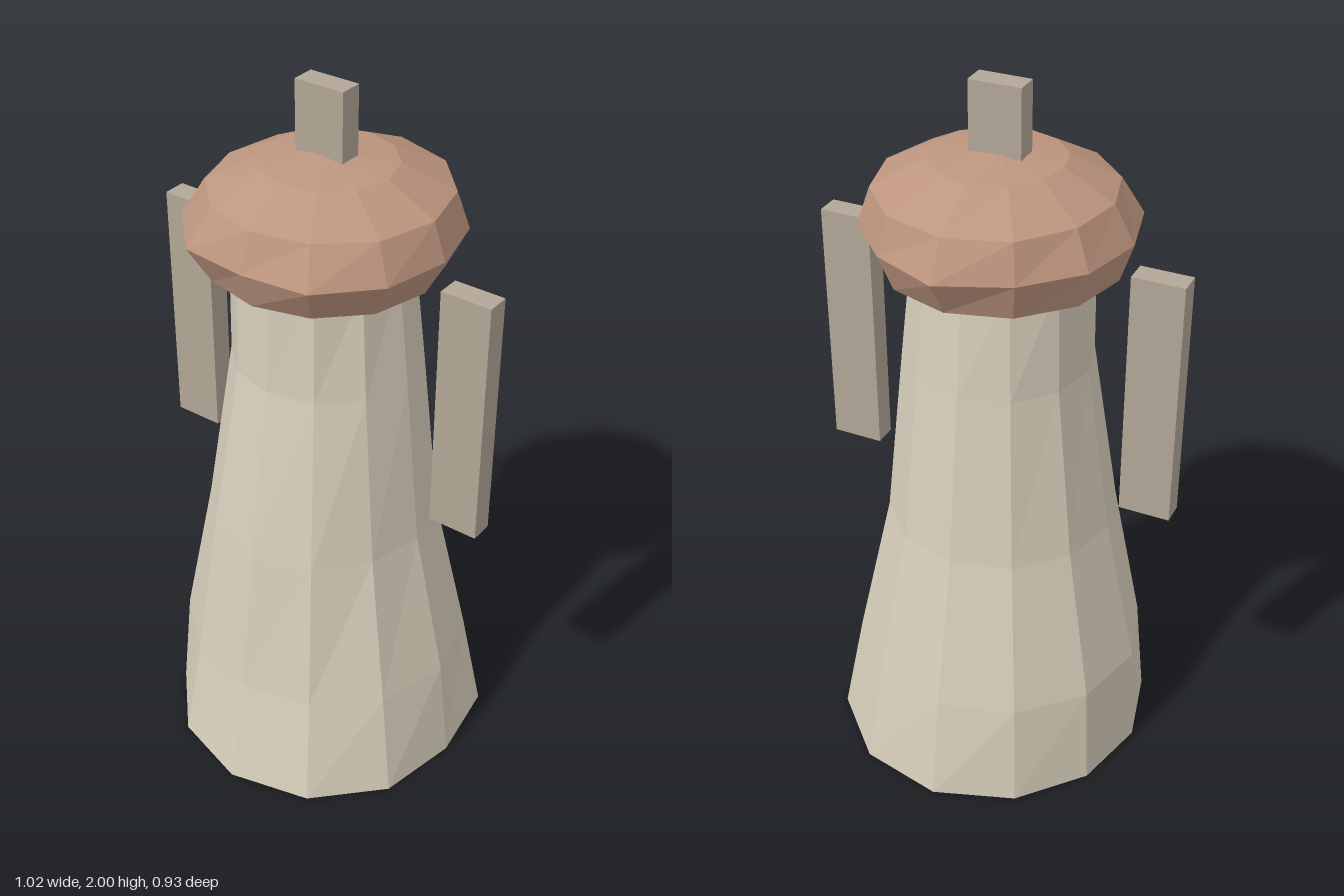
import * as THREE from 'three';

const SIDES = 12;

// Radius at corner j: 12 explicit radii, or 4 (+x, +z, -x, -z) blended smoothly
function radiusAt(radii, j) {
  if (radii.length === SIDES) return radii[j];
  const a = (j / SIDES) * Math.PI * 2, c = Math.cos(a), s = Math.sin(a);
  const rx = c >= 0 ? radii[0] : radii[2], rz = s >= 0 ? radii[1] : radii[3];
  return rx * c * c + rz * s * s;
}

// Skin through stacked twelve-sided rings, each [y, radii]
function loft(rings) {
  const point = ([y, radii], j) => {
    const k = j % SIDES, a = (k / SIDES) * Math.PI * 2, r = radiusAt(radii, k);
    return [Math.cos(a) * r, y, Math.sin(a) * r];
  };
  const pos = [];
  for (let i = 0; i < rings.length - 1; i++) {
    for (let j = 0; j < SIDES; j++) {
      const a = point(rings[i], j), b = point(rings[i], j + 1);
      const d = point(rings[i + 1], j), c = point(rings[i + 1], j + 1);
      pos.push(...a, ...d, ...b, ...b, ...d, ...c);
    }
  }
  const geo = new THREE.BufferGeometry();
  geo.setAttribute('position', new THREE.Float32BufferAttribute(pos, 3));
  geo.computeVertexNormals();
  return geo;
}

export function createModel() {
  const group = new THREE.Group();
  const mat = (color) => new THREE.MeshStandardMaterial({ color, flatShading: true });
  const add = (name, geo, material) => {
    const mesh = new THREE.Mesh(geo, material);
    mesh.name = name;
    group.add(mesh);
    return mesh;
  };
  const POLE = [0, 0, 0, 0];

  // Tapered, slightly uneven tower with closed ends
  add('tower', loft([
    [0, POLE],
    [0, [0.45, 0.463, 0.464, 0.46, 0.453, 0.441, 0.435, 0.437, 0.448, 0.465, 0.477, 0.478]],
    [0.31, [0.415, 0.39, 0.42, 0.42]],
    [0.75, [0.315, 0.335, 0.325, 0.325]],
    [1.24, [0.265, 0.247, 0.253, 0.268]],
    [1.55, [0.23, 0.24, 0.25, 0.235]],
    [1.55, POLE],
  ]), mat(0xd6cdba));

  // Squashed, faceted cap
  add('cap', loft([
    [1.44, POLE],
    [1.47, [0.18, 0.18, 0.18, 0.18]],
    [1.525, [0.305, 0.3, 0.325, 0.33]],
    [1.63, [0.36, 0.367, 0.37, 0.34, 0.37, 0.365, 0.36, 0.364, 0.367, 0.395, 0.367, 0.364]],
    [1.73, [0.325, 0.3, 0.305, 0.34]],
    [1.8, [0.19, 0.175, 0.17, 0.19]],
    [1.825, POLE],
  ]), mat(0xbd957e));

  // Upright sail boards: one on each side, one through the cap
  const sailMat = mat(0xb2a696);
  const sailGeo = new THREE.BoxGeometry(0.143, 0.705, 0.065);
  for (const [name, x, y] of [['leftSail', 0.438, 1.212], ['rightSail', -0.44, 1.212], ['topSail', 0, 1.6475]]) {
    add(name, sailGeo, sailMat).position.set(x, y, -0.007);
  }
  return group;
}
